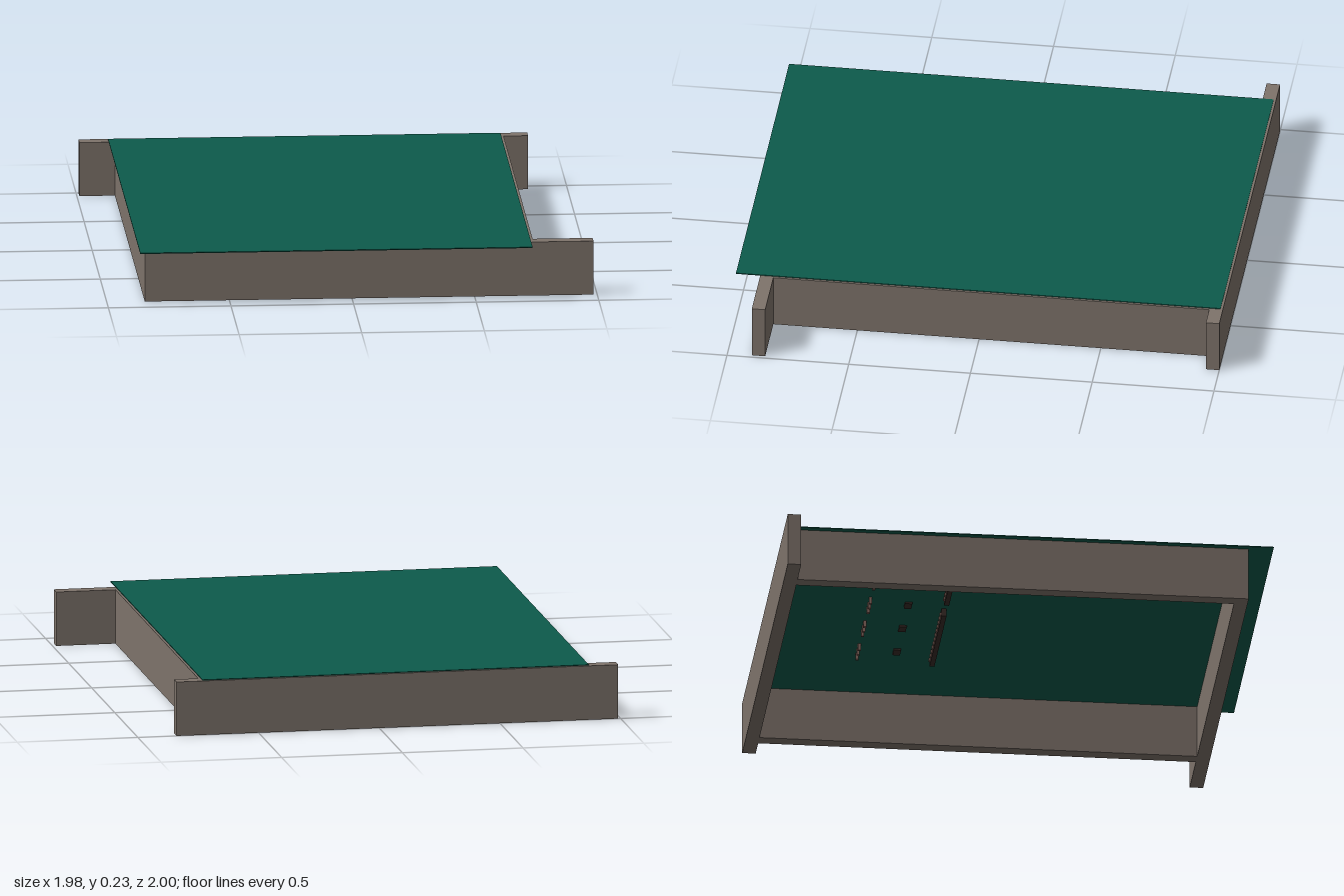
import * as THREE from 'three';

export function createModel() {
  const group = new THREE.Group();
  const mat = (name, color) => {
    const m = new THREE.MeshStandardMaterial({ color });
    m.name = name;
    return m;
  };
  const wood = mat('grey brown wood', 0x7e736b);
  const green = mat('deep green', 0x0d5b4b);
  const dark = mat('dark brown', 0x3a2c28);
  const rust = mat('dull rust', 0x8a6a60);

  // Box given by its lower and upper limits on each axis
  const box = (name, material, [x0, x1], [y0, y1], [z0, z1], parent = group) => {
    const mesh = new THREE.Mesh(new THREE.BoxGeometry(x1 - x0, y1 - y0, z1 - z0), material);
    mesh.position.set((x0 + x1) / 2, (y0 + y1) / 2, (z0 + z1) / 2);
    mesh.name = name;
    parent.add(mesh);
    return mesh;
  };

  // Frame of four upright planks, whose ends run past the corners
  const h = [0, 0.224];
  box('backPlank', wood, [-0.99, 0.84], h, [-1, -0.945]);
  box('frontPlank', wood, [-0.845, 0.985], h, [0.845, 0.9]);
  box('rightPlank', wood, [0.685, 0.74], h, [-0.945, 0.845]);
  box('leftPlank', wood, [-0.845, -0.79], h, [-0.945, 0.845]);

  // Thin deck laid in rows, overhanging the front
  const deck = new THREE.Group();
  deck.name = 'deck';
  group.add(deck);
  const rows = 9, z0 = -0.99, step = 1.99 / rows;
  for (let i = 0; i < rows; i++) {
    box('deckRow', green, [-0.87, 0.73], [0.223, 0.227], [z0 + i * step, z0 + (i + 1) * step], deck);
  }

  // Two strips of small fittings below the deck
  const fittings = new THREE.Group();
  fittings.name = 'undersideFittings';
  group.add(fittings);
  for (const start of [-0.74, -0.15]) {
    box('strip', dark, [start, start + 0.49], [0.19, 0.223], [-0.285, -0.265], fittings);
    for (let i = 0; i < 12; i++) {
      const x = start + 0.015 + i * 0.04;
      box('stripStud', rust, [x, x + 0.015], [0.2, 0.212], [-0.291, -0.285], fittings);
    }
  }

  // Clusters of pegs near the back, with small plates behind them
  for (let i = 0; i < 5; i++) {
    const x = -0.68 + i * 0.225;
    for (let j = 0; j < 3; j++) {
      box('peg', rust, [x + j * 0.045, x + j * 0.045 + 0.012], [0.195, 0.223], [-0.59, -0.578], fittings);
    }
    box('plate', dark, [x + 0.03, x + 0.08], [0.215, 0.223], [-0.44, -0.41], fittings);
  }

  // Small bracket on the inner face of the left plank
  box('bracket', rust, [-0.79, -0.77], [0.155, 0.175], [-0.72, -0.62], fittings);
  box('bracketArm', dark, [-0.77, -0.74], [0.16, 0.17], [-0.68, -0.66], fittings);

  return group;
}
